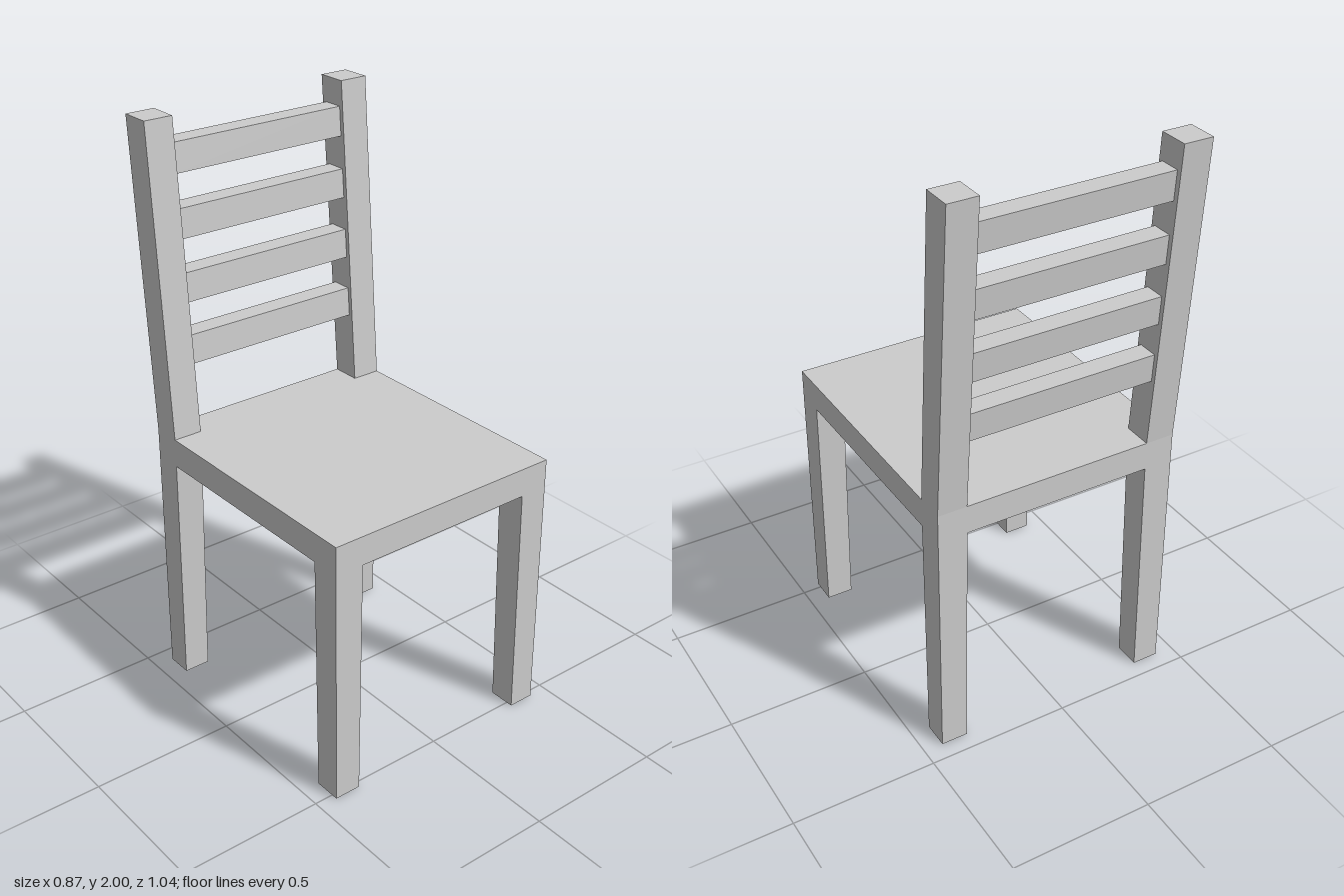
import * as THREE from 'three';

const material = new THREE.MeshStandardMaterial({ color: 0xcccccc, flatShading: true });

// Bar between two level rectangles, each given as [x0, x1, z0, z1]
function bar(name, y0, bottom, y1, top) {
  const geometry = new THREE.BoxGeometry(1, 1, 1);
  const p = geometry.attributes.position;
  for (let i = 0; i < p.count; i++) {
    const upper = p.getY(i) > 0;
    const r = upper ? top : bottom;
    p.setXYZ(i, p.getX(i) < 0 ? r[0] : r[1], upper ? y1 : y0, p.getZ(i) < 0 ? r[2] : r[3]);
  }
  geometry.computeVertexNormals();
  const mesh = new THREE.Mesh(geometry, material);
  mesh.name = name;
  return mesh;
}

export function createModel() {
  const chair = new THREE.Group();
  chair.name = 'chair';

  const halfWidth = 0.433, inner = 0.331, foot = 0.34;
  const front = 0.522, back = -0.44;
  const seatBottom = 0.84, seatTop = 0.94, top = 2;

  // Seat slab
  const seat = [-halfWidth, halfWidth, back, front];
  chair.add(bar('seat', seatBottom, seat, seatTop, seat));

  // Legs taper on their inner faces; back posts lean rearward
  for (const side of [-1, 1]) {
    const label = side > 0 ? 'left' : 'right';
    const span = (x, z0, z1) => side > 0 ? [x, halfWidth, z0, z1] : [-halfWidth, -x, z0, z1];
    chair.add(
      bar(label + 'FrontLeg', 0, span(foot, 0.428, front), seatBottom, span(inner, 0.418, front)),
      bar(label + 'BackLeg', 0, span(foot, back, -0.347), seatBottom, span(inner, back, -0.338)),
      bar(label + 'BackPost', seatTop, span(inner, back, -0.338), top, span(inner, -0.522, -0.416))
    );
  }

  // Four back slats follow the lean of the posts
  const centre = (y) => THREE.MathUtils.mapLinear(y, seatTop, top, -0.389, -0.468);
  const slat = (y) => [-inner, inner, centre(y) - 0.036, centre(y) + 0.036];
  for (let i = 0; i < 4; i++) {
    const y = 1.176 + i * 0.212;
    chair.add(bar('backSlat' + (i + 1), y, slat(y), y + 0.1, slat(y + 0.1)));
  }
  return chair;
}
